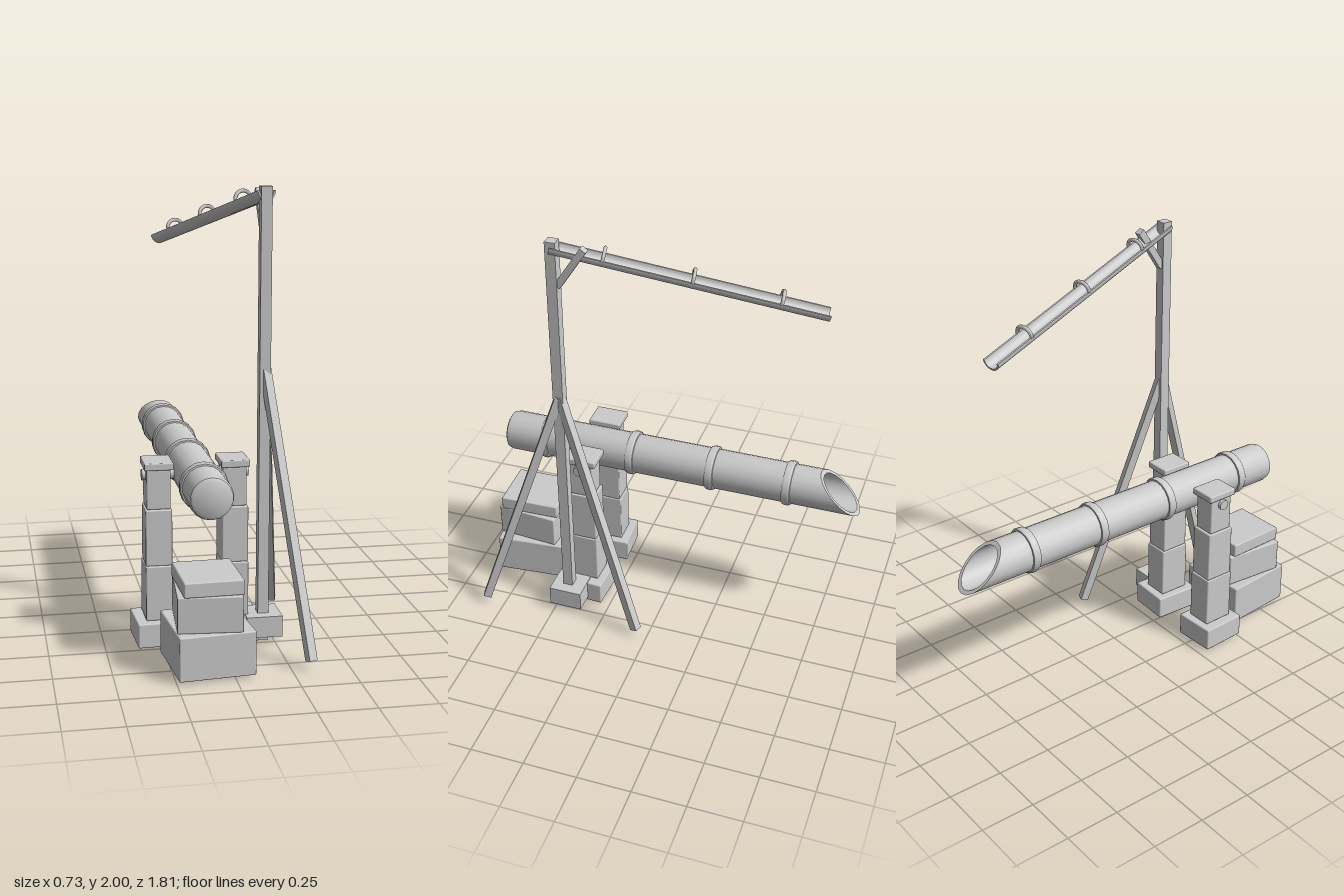
import * as THREE from 'three';
import { toCreasedNormals } from 'three/addons/utils/BufferGeometryUtils.js';
import { RoundedBoxGeometry } from 'three/addons/geometries/RoundedBoxGeometry.js';

const material = new THREE.MeshStandardMaterial({ color: 0xcccccc });
const V = (x, y, z) => new THREE.Vector3(x, y, z);

function add(parent, name, geometry, x = 0, y = 0, z = 0) {
  const mesh = new THREE.Mesh(geometry, material);
  mesh.name = name;
  mesh.position.set(x, y, z);
  parent.add(mesh);
  return mesh;
}

// Softly bevelled block standing between two heights
function block(parent, name, w, d, y0, y1, x, z, turn = 0) {
  const mesh = add(parent, name, new RoundedBoxGeometry(w, y1 - y0, d, 1, 0.006), x, (y0 + y1) / 2, z);
  mesh.rotation.y = turn;
  return mesh;
}

// Square bar running between two points
function bar(parent, name, a, b, size) {
  const mid = a.clone().add(b).multiplyScalar(0.5);
  const mesh = add(parent, name, new THREE.BoxGeometry(size, size, a.distanceTo(b)), mid.x, mid.y, mid.z);
  mesh.lookAt(b);
  return mesh;
}

// Lathe turned so that profile height runs along -z
function latheZ(points) {
  const pts = points.map(([r, h]) => new THREE.Vector2(r, h));
  return new THREE.LatheGeometry(pts, 18).rotateX(-Math.PI / 2);
}

function makeTippingTube() {
  const group = new THREE.Group();
  group.name = 'tippingTube';
  group.position.set(-0.094, 0.765, 0);
  const r = 0.095;
  const geo = latheZ([
    [0, -0.837], [0.075, -0.837], [0.089, -0.829], [r, -0.81],
    [r, 0.8], [0.08, 0.8], [0.08, 0.5], [0, 0.5],
  ]);
  // Slanted mouth: the lower lip reaches further back
  const p = geo.attributes.position;
  for (let i = 0; i < p.count; i++) {
    if (p.getZ(i) < -0.7) p.setZ(i, -0.71 - ((r - p.getY(i)) / (2 * r)) * 0.195);
  }
  add(group, 'tube', toCreasedNormals(geo, 0.6));

  // Raised bamboo joints
  for (const z of [0.635, 0.2, -0.195, -0.567]) {
    const ring = latheZ([[0.09, -0.021], [0.102, -0.019], [0.106, -0.01], [0.106, 0.01], [0.102, 0.019], [0.09, 0.021]]);
    add(group, 'tubeJoint', toCreasedNormals(ring, 0.6), 0, 0, z);
  }
  return group;
}

function makePost(x, turn) {
  const group = new THREE.Group();
  group.name = 'stonePost';
  const z = 0.395;
  block(group, 'postBase', 0.2, 0.22, 0.01, 0.12, x + Math.sign(x) * 0.005, z, turn);
  block(group, 'postLower', 0.122, 0.15, 0.12, 0.368, x, z, turn * 0.3);
  block(group, 'postMiddle', 0.117, 0.14, 0.368, 0.62, x, z, -turn * 0.2);
  block(group, 'postUpper', 0.105, 0.12, 0.62, 0.795, x, z);
  block(group, 'postCap', 0.128, 0.155, 0.797, 0.83, x, z);
  return group;
}

function makeChute() {
  const group = new THREE.Group();
  group.name = 'chute';
  const start = V(0.205, 1.982, 0.45), end = V(-0.09, 1.705, -0.7);
  const length = start.distanceTo(end);
  const r = 0.042;
  // Half pipe open at the top
  const shape = new THREE.Shape();
  shape.absarc(0, 0, r, Math.PI, 2 * Math.PI, false);
  shape.absarc(0, 0, r - 0.008, 2 * Math.PI, Math.PI, true);
  shape.closePath();
  const geo = new THREE.ExtrudeGeometry(shape, { depth: length, bevelEnabled: false, curveSegments: 8 });
  add(group, 'halfPipe', toCreasedNormals(geo, 0.6));
  // Arched joints over the opening
  for (const z of [0.235, -0.13, -0.495]) {
    const t = (start.z - z) / (start.z - end.z);
    add(group, 'chuteHoop', new THREE.TorusGeometry(r - 0.002, 0.009, 6, 12, Math.PI), 0, 0, t * length);
  }
  group.position.copy(start);
  group.lookAt(end);
  return group;
}

export function createModel() {
  const model = new THREE.Group();
  model.name = 'bambooFountain';

  model.add(makeTippingTube());
  model.add(makePost(-0.26, 0.05), makePost(0.075, -0.05));

  // Pivot through both posts
  const axle = new THREE.CylinderGeometry(0.025, 0.025, 0.47, 12).rotateZ(Math.PI / 2);
  add(model, 'axle', toCreasedNormals(axle, 0.6), -0.093, 0.765, 0.4);

  // Stacked striking stones
  block(model, 'stoneBottom', 0.33, 0.348, 0.01, 0.203, -0.092, 0.715, 0.09);
  block(model, 'stoneMiddle', 0.275, 0.3, 0.203, 0.36, -0.094, 0.72, -0.08);
  block(model, 'stoneTop', 0.255, 0.29, 0.36, 0.425, -0.093, 0.722, 0.03);

  // Water pole with its foot, two splayed legs and brace
  add(model, 'pole', new THREE.BoxGeometry(0.048, 2, 0.048), 0.202, 1, 0.445);
  add(model, 'poleFoot', new THREE.BoxGeometry(0.16, 0.095, 0.16), 0.2, 0.078, 0.44);
  for (const side of [-1, 1]) {
    bar(model, 'poleLeg', V(0.206, 1.225, 0.445), V(0.332, 0.04, 0.445 + side * 0.39), 0.038);
  }
  bar(model, 'chuteBrace', V(0.202, 1.79, 0.425), V(0.202, 1.98, 0.3), 0.032);

  model.add(makeChute());
  return model;
}
